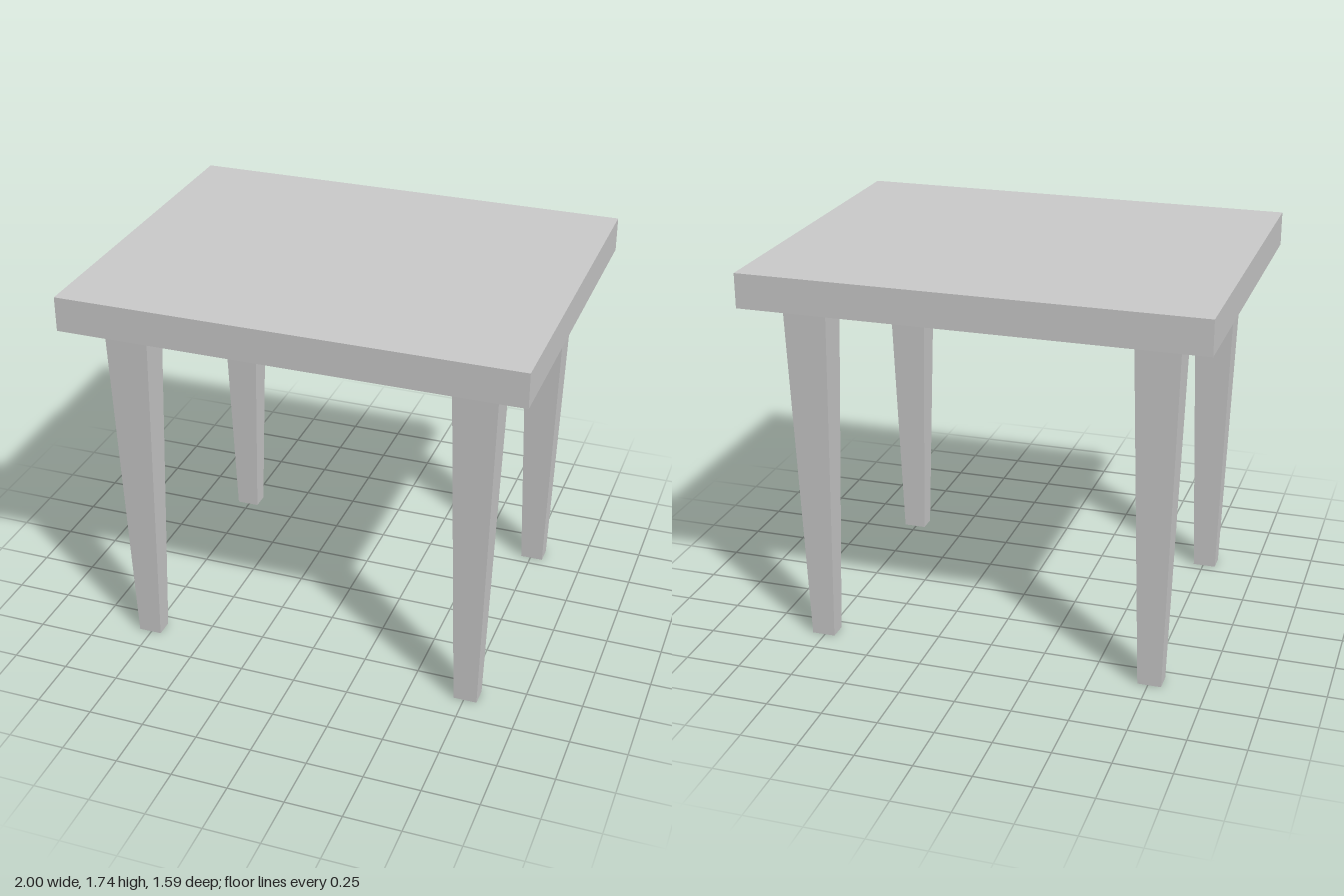
import * as THREE from 'three';

const TOP_Y = 1.735, UNDER_Y = 1.583;

// Box whose bottom face is scaled in towards its centre; base at y = 0
function taperedBox(width, height, depth, bottomScale) {
  const geo = new THREE.BoxGeometry(width, height, depth).translate(0, height / 2, 0);
  const pos = geo.attributes.position;
  for (let i = 0; i < pos.count; i++) {
    if (pos.getY(i) < height / 2) {
      pos.setX(i, pos.getX(i) * bottomScale);
      pos.setZ(i, pos.getZ(i) * bottomScale);
    }
  }
  geo.computeVertexNormals();
  return geo;
}

export function createModel() {
  const table = new THREE.Group();
  table.name = 'table';
  const material = new THREE.MeshStandardMaterial({ color: 0xcccccc, flatShading: true });

  // Table top slab
  const thickness = TOP_Y - UNDER_Y;
  const top = new THREE.Mesh(new THREE.BoxGeometry(2, thickness, 1.594), material);
  top.name = 'tableTop';
  top.position.y = UNDER_Y + thickness / 2;
  table.add(top);

  // Four tapered legs, mirrored to the corners
  const legGeometry = taperedBox(0.194, UNDER_Y, 0.154, 0.537);
  for (const [endName, sz] of [['front', 1], ['back', -1]]) {
    for (const [sideName, sx] of [['Left', 1], ['Right', -1]]) {
      const leg = new THREE.Mesh(legGeometry, material);
      leg.name = `${endName}${sideName}Leg`;
      leg.position.set(sx * 0.756, 0, sz * 0.589);
      table.add(leg);
    }
  }
  return table;
}
